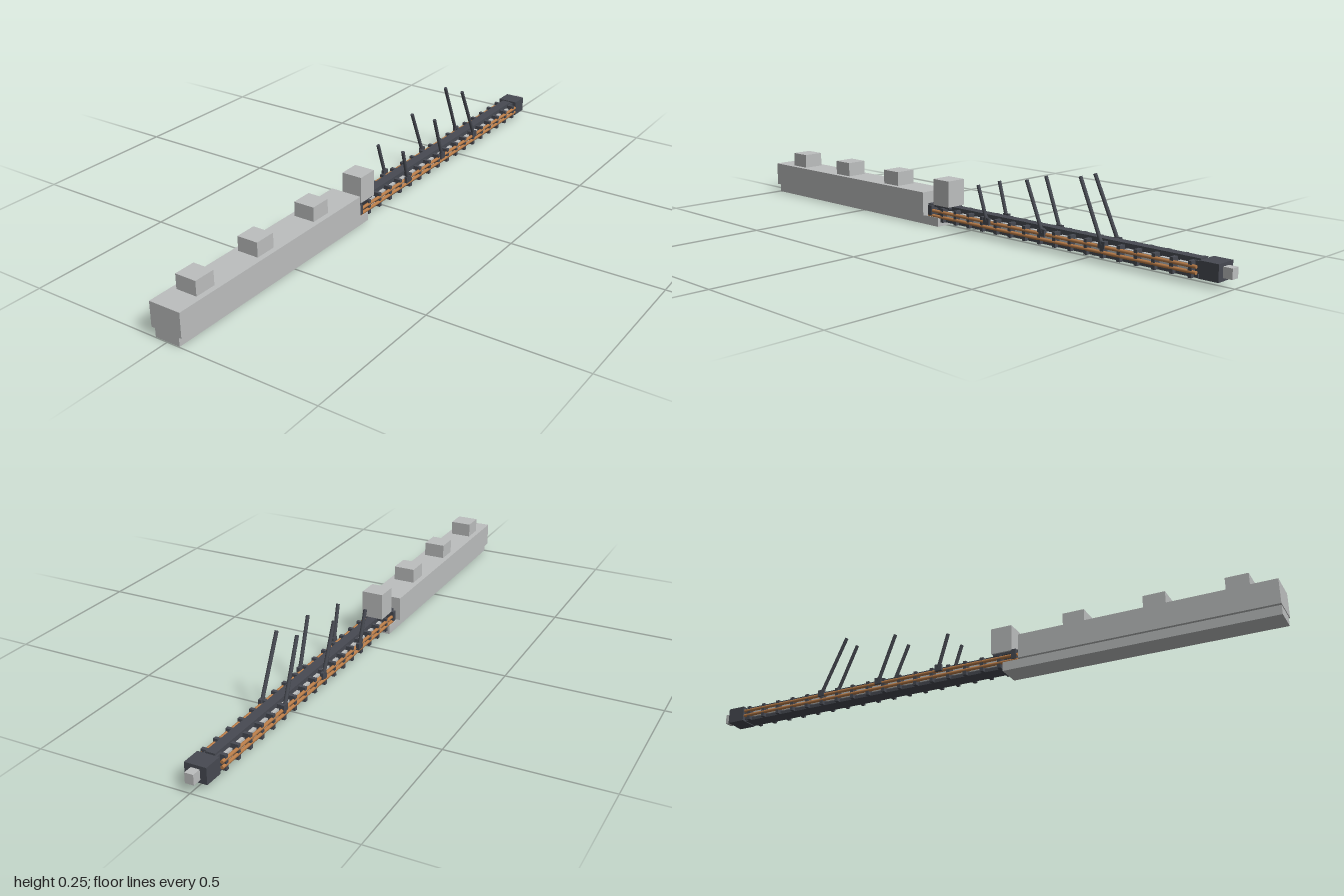
import * as THREE from 'three';

export function createModel() {
  const root = new THREE.Group();
  const grey = new THREE.MeshStandardMaterial({ name: 'lightGrey', color: 0xbcbebe });
  const dark = new THREE.MeshStandardMaterial({ name: 'charcoal', color: 0x474a52 });
  const copper = new THREE.MeshStandardMaterial({ name: 'copper', color: 0xb97c48 });

  // box given by its limits on each axis
  const box = (name, mat, x0, x1, y0, y1, z0, z1) => {
    const m = new THREE.Mesh(new THREE.BoxGeometry(x1 - x0, y1 - y0, z1 - z0), mat);
    m.position.set((x0 + x1) / 2, (y0 + y1) / 2, (z0 + z1) / 2);
    m.name = name;
    root.add(m);
    return m;
  };
  // round bar between two points
  const bar = (name, mat, a, b, r) => {
    const p = new THREE.Vector3(...a), q = new THREE.Vector3(...b);
    const d = q.clone().sub(p);
    const m = new THREE.Mesh(new THREE.CylinderGeometry(r, r, d.length(), 12), mat);
    m.position.copy(p).add(q).multiplyScalar(0.5);
    m.quaternion.setFromUnitVectors(new THREE.Vector3(0, 1, 0), d.normalize());
    m.name = name;
    root.add(m);
  };

  // long housing with its narrower keel and top blocks
  box('housing', grey, -0.054, 0.054, 0.03, 0.11, 0.175, 1);
  box('keel', grey, -0.043, 0.043, 0, 0.03, 0.115, 0.998);
  for (const z of [0.878, 0.622, 0.358]) {
    box('topBlock', grey, -0.036, 0.036, 0.11, 0.158, z - 0.036, z + 0.036);
  }
  box('junctionBlock', grey, -0.036, 0.036, 0.07, 0.158, 0.072, 0.144);

  // spine rails
  box('topRail', dark, -0.016, 0.016, 0.055, 0.07, -0.9, 0.175);
  box('bottomRail', dark, -0.026, 0.026, 0.016, 0.027, -0.9, 0.115);
  box('spineCore', dark, -0.012, 0.012, 0.027, 0.055, -0.9, 0.175);

  // ribs with light spacers between them
  for (let i = 0; i < 17; i++) {
    const z = 0.1 - i * 0.0613;
    box('rib', dark, -0.04, 0.04, 0.016, 0.064, z - 0.006, z + 0.006);
    if (i < 16) box('spacer', grey, -0.026, 0.026, 0.03, 0.054, z - 0.05, z - 0.012);
  }

  // neck collar joining the spine to the housing
  box('neckCollar', dark, -0.044, 0.044, 0.035, 0.068, 0.146, 0.162);
  box('neckTopPlate', dark, -0.03, 0.03, 0.062, 0.07, 0.075, 0.175);

  // copper lines and raised rods on both sides
  const rods = [
    [[0.046, 0.055, -0.115], [0.049, 0.169, -0.079]],
    [[0.041, 0.055, -0.346], [0.045, 0.212, -0.283]],
    [[0.038, 0.055, -0.575], [0.034, 0.247, -0.486]],
  ];
  for (const s of [-1, 1]) {
    for (const y of [0.033, 0.05]) {
      bar('copperLine', copper, [s * 0.036, y, -0.9], [s * 0.036, y, 0.165], 0.0055);
    }
    for (const [a, b] of rods) {
      bar('raisedRod', dark, [s * a[0], a[1], a[2]], [s * b[0], b[1], b[2]], 0.006);
      box('rodHinge', dark, s * a[0] - 0.005, s * a[0] + 0.005, 0.045, 0.067, a[2] - 0.012, a[2] + 0.012);
    }
  }

  // end cap and tip
  box('endCap', dark, -0.035, 0.035, 0.018, 0.07, -0.97, -0.908);
  box('endCapNeck', dark, -0.022, 0.022, 0.024, 0.064, -0.908, -0.88);
  box('tip', grey, -0.014, 0.014, 0.028, 0.06, -1, -0.97);
  return root;
}
